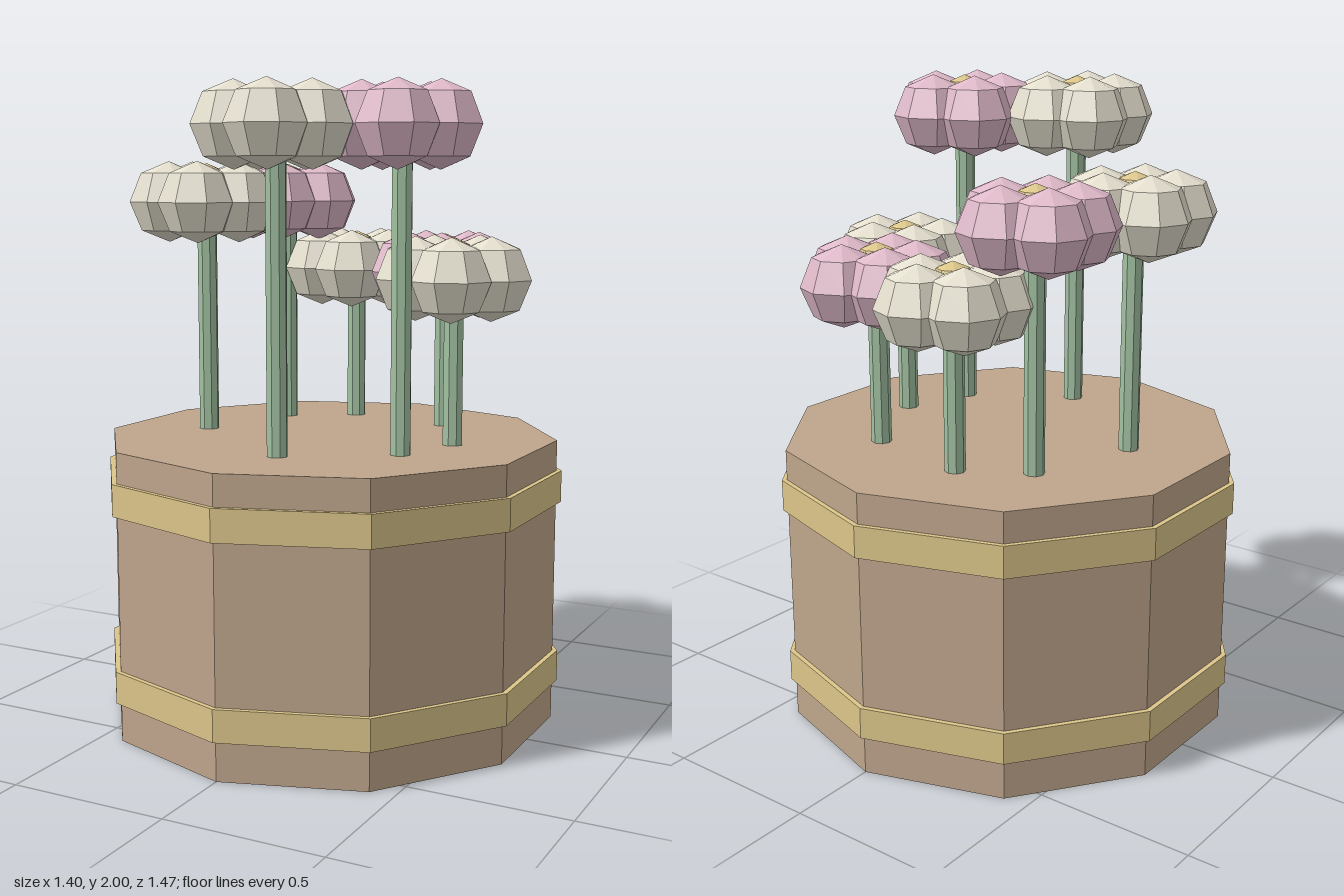
import * as THREE from 'three';

const mat = (name, color) => {
  const m = new THREE.MeshStandardMaterial({ color, flatShading: true });
  m.name = name;
  return m;
};

export function createModel() {
  const wood = mat('wood', 0xbfa68c);
  const gold = mat('gold', 0xdcc68a);
  const green = mat('stem green', 0xa3c2a3);
  const cream = mat('cream', 0xe3decd);
  const pink = mat('pink', 0xdfb9c9);

  const model = new THREE.Group();
  model.name = 'flowerBarrel';

  const add = (parent, name, geometry, material, x, y, z) => {
    const mesh = new THREE.Mesh(geometry, material);
    mesh.name = name;
    mesh.position.set(x, y, z);
    parent.add(mesh);
    return mesh;
  };

  // Ten-sided barrel with two hoops
  const barrelTop = 0.905;
  add(model, 'barrel', new THREE.CylinderGeometry(0.72, 0.72, barrelTop, 10), wood, 0, barrelTop / 2, 0);
  const hoop = new THREE.CylinderGeometry(0.736, 0.736, 0.1, 10);
  add(model, 'lowerHoop', hoop, gold, 0, 0.173, 0);
  add(model, 'upperHoop', hoop, gold, 0, 0.759, 0);

  // Flower: stem, five faceted petals, faceted centre
  const petalGeo = new THREE.SphereGeometry(0.128, 8, 4);
  const centreGeo = new THREE.SphereGeometry(0.07, 8, 4);
  const flower = (x, y, z, petalMaterial) => {
    const g = new THREE.Group();
    g.name = 'flower';
    g.position.set(x, 0, z);
    const h = y - barrelTop + 0.02;
    add(g, 'stem', new THREE.CylinderGeometry(0.032, 0.032, h, 8), green, 0, y - h / 2, 0);
    for (let i = 0; i < 5; i++) {
      const a = (i / 5) * Math.PI * 2;
      add(g, 'petal', petalGeo, petalMaterial, Math.cos(a) * 0.12, y, Math.sin(a) * 0.12);
    }
    add(g, 'flowerCentre', centreGeo, gold, 0, y + 0.052, 0);
    model.add(g);
  };

  // Ring of flowers at three heights
  const low = 1.418, mid = 1.643, high = 1.87;
  flower(0.42, low, -0.005, cream);
  flower(0.347, high, 0.22, pink);
  flower(0.035, high, 0.412, cream);
  flower(-0.41, mid, 0.073, cream);
  flower(-0.308, mid, -0.282, pink);
  flower(-0.107, low, -0.405, cream);
  flower(0.25, low, -0.332, pink);

  return model;
}
